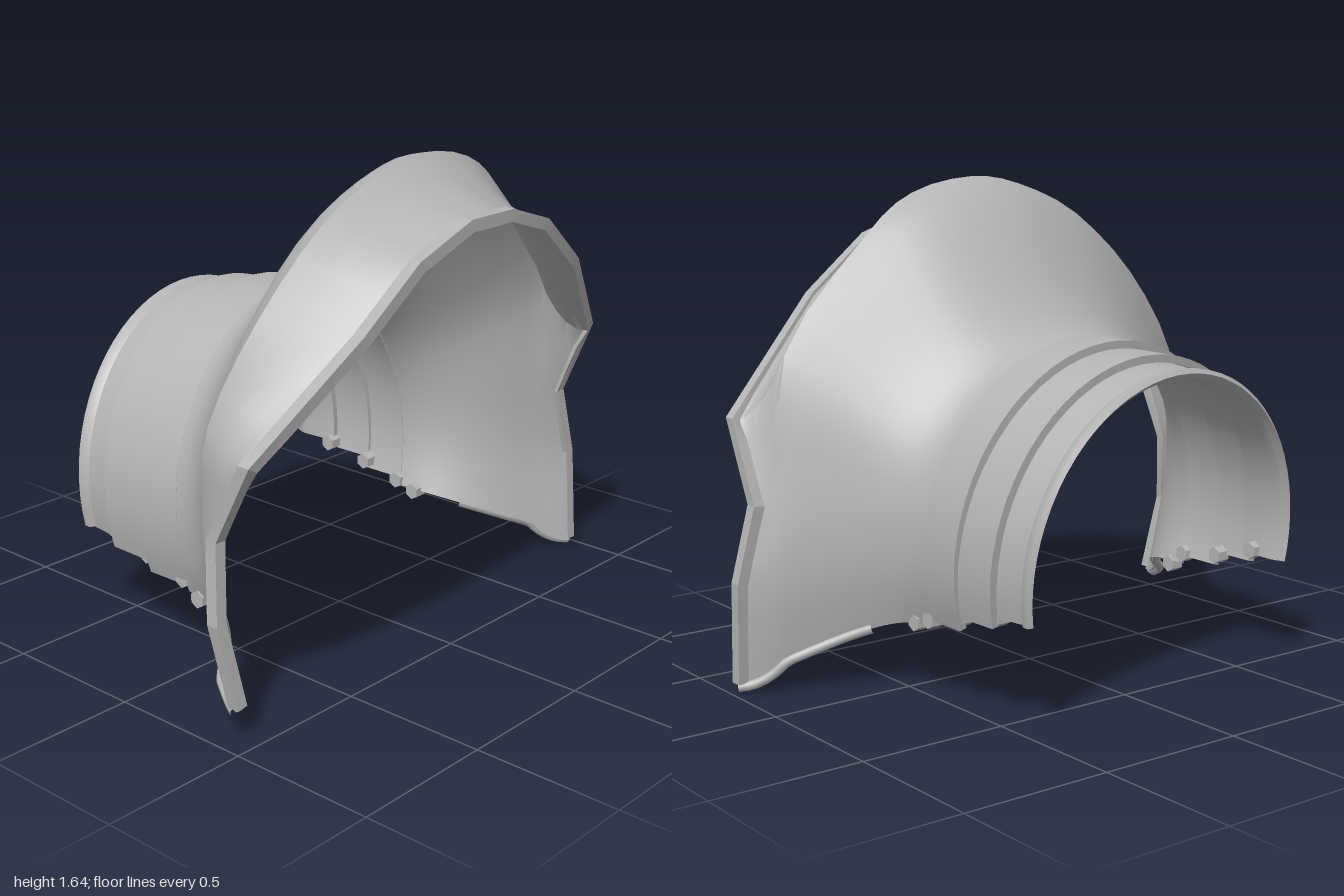
import * as THREE from 'three';
import { toCreasedNormals } from 'three/addons/utils/BufferGeometryUtils.js';

const V = (x, y, z) => new THREE.Vector3(x, y, z);
const N = 39; // segments around each arch

// Closed plate of even thickness from rows of outer points (rows run along +x, points run left to right)
function shell(rows, thickness, crease) {
  const nr = rows.length, nc = rows[0].length, total = nr * nc;
  const outer = [], inner = [], index = [];
  const id = (i, j) => i * nc + j;
  for (let i = 0; i < nr; i++) for (let j = 0; j < nc; j++) {
    const p = rows[i][j];
    const di = rows[Math.min(i + 1, nr - 1)][j].clone().sub(rows[Math.max(i - 1, 0)][j]);
    const dj = rows[i][Math.min(j + 1, nc - 1)].clone().sub(rows[i][Math.max(j - 1, 0)]);
    const q = p.clone().addScaledVector(di.cross(dj).normalize(), -thickness);
    outer.push(p.x, p.y, p.z);
    inner.push(q.x, q.y, q.z);
  }
  for (let i = 0; i < nr - 1; i++) for (let j = 0; j < nc - 1; j++) {
    const a = id(i, j), b = id(i + 1, j), c = id(i, j + 1), d = id(i + 1, j + 1), t = total;
    index.push(a, b, d, a, d, c, a + t, d + t, b + t, a + t, c + t, d + t);
  }
  const wall = (p, q) => index.push(q, p, p + total, q, p + total, q + total);
  for (let i = 0; i < nr - 1; i++) {
    wall(id(i, 0), id(i + 1, 0));
    wall(id(i + 1, nc - 1), id(i, nc - 1));
  }
  for (let j = 0; j < nc - 1; j++) {
    wall(id(0, j + 1), id(0, j));
    wall(id(nr - 1, j), id(nr - 1, j + 1));
  }
  const g = new THREE.BufferGeometry();
  g.setAttribute('position', new THREE.Float32BufferAttribute(outer.concat(inner), 3));
  g.setIndex(index);
  return toCreasedNormals(g, crease);
}

// Point on a slanted circular arch; s is how far (degrees) it reaches below the centre
function archPoint(a, r, cy, cz, s, t) {
  const th = THREE.MathUtils.degToRad(-s + (180 + 2 * s) * t);
  const y = cy + r * Math.sin(th), z = cz + r * Math.cos(th);
  return V(a + 0.1 * z - 0.085 * y, y, z);
}
const row = (f) => Array.from({ length: N + 1 }, (_, j) => f(j / N));

// Mouth edge and swollen ridge, each from left bottom over the top to right bottom
const rimPts = [
  [0.42, 0.08, 0.94], [0.39, 0.36, 0.99], [0.36, 0.61, 0.96], [0.51, 0.88, 0.97], [0.63, 1.21, 0.62],
  [0.67, 1.4, 0.42], [0.685, 1.49, 0.2], [0.685, 1.49, 0], [0.66, 1.42, -0.22], [0.585, 1.23, -0.5],
  [0.36, 0.87, -0.94], [0.25, 0.6, -0.93], [0.26, 0.35, -0.99], [0.29, 0.01, -0.98],
].map((p) => V(...p));
const ridge = new THREE.CatmullRomCurve3([
  [0.3, 0.115, 0.87], [0.29, 0.37, 0.9], [0.27, 0.65, 0.91], [0.33, 0.95, 0.93], [0.4, 1.25, 0.79],
  [0.4, 1.48, 0.52], [0.385, 1.59, 0.25], [0.36, 1.62, 0.02], [0.34, 1.57, -0.24], [0.31, 1.43, -0.45],
  [0.26, 1.07, -0.79], [0.19, 0.68, -0.83], [0.18, 0.35, -0.87], [0.2, 0.08, -0.84],
].map((p) => V(...p)), false, 'catmullrom', 0.5);

function rimPoint(t) {
  const k = Math.min(Math.floor(t * 13 + 1e-6), 12);
  return rimPts[k].clone().lerp(rimPts[k + 1], t * 13 - k);
}

export function createModel() {
  const group = new THREE.Group();
  const steel = new THREE.MeshStandardMaterial({ color: 0xb4b4b4 });
  steel.name = 'grey steel';
  const add = (name, geometry) => {
    const m = new THREE.Mesh(geometry, steel);
    m.name = name;
    group.add(m);
    return m;
  };

  // Overlapping bands; profile pairs are [slide along x, radius]
  const bands = [
    { name: 'endBand', cy: 0.44, cz: 0.08, s: 10.5, profile: [[-0.592, 0.598], [-0.58, 0.612], [-0.56, 0.612], [-0.54, 0.6], [-0.4, 0.615]] },
    { name: 'middleBand', cy: 0.45, cz: 0.075, s: 14, profile: [[-0.43, 0.632], [-0.24, 0.635]] },
    { name: 'innerBand', cy: 0.467, cz: 0.07, s: 19.5, profile: [[-0.266, 0.645], [-0.08, 0.643]] },
  ];
  for (const b of bands) {
    const rows = b.profile.map(([a, r]) => row((t) => archPoint(a, r, b.cy, b.cz, b.s, t)));
    add(b.name, shell(rows, 0.026, 0.6));
  }

  // Flared body: arch to ridge, then ridge to mouth
  const rows = [];
  for (let i = 0; i <= 12; i++) {
    const u = i / 12;
    rows.push(row((t) => {
      const a = archPoint(-0.1, 0.641, 0.467, 0.07, 22, t), b = ridge.getPoint(t);
      const top = Math.sin(Math.PI * t) ** 2;
      const f = THREE.MathUtils.lerp(u ** 2.4, u * u * (3 - 2 * u), top);
      return V(THREE.MathUtils.lerp(a.x, b.x, u), THREE.MathUtils.lerp(a.y, b.y, f), THREE.MathUtils.lerp(a.z, b.z, f));
    }));
  }
  for (let i = 1; i <= 5; i++) {
    const v = i / 5, f = 1 - (1 - v) ** 2;
    rows.push(row((t) => {
      const a = ridge.getPoint(t), b = rimPoint(t);
      return V(THREE.MathUtils.lerp(a.x, b.x, v), THREE.MathUtils.lerp(a.y, b.y - 0.012, f), THREE.MathUtils.lerp(a.z, b.z * 0.99, v));
    }));
  }
  add('flaredBody', shell(rows, 0.022, 0.7));

  // Raised border around the mouth
  const border = [-0.02, 0.022].map((dx) => row((t) => rimPoint(t).add(V(dx, 0, 0))));
  add('mouthBorder', shell(border, 0.04, 0.25));

  // Rolled hems along the two lower edges of the flare
  for (const [name, j] of [['leftHem', 0], ['rightHem', N]]) {
    const path = new THREE.CatmullRomCurve3(rows.slice(7).map((r) => r[j].clone()));
    add(name, new THREE.TubeGeometry(path, 16, 0.017, 6, false));
  }

  // Six-sided rivets near the lower edges
  const rivets = [
    [-0.07, 0.27, 0.66], [0, 0.22, 0.66], [-0.42, 0.35, 0.65], [-0.25, 0.3, 0.65],
    [-0.09, 0.225, -0.52], [-0.17, 0.25, -0.52], [-0.49, 0.325, -0.5], [-0.32, 0.29, -0.51],
  ];
  const rivetShape = new THREE.CylinderGeometry(0.03, 0.03, 0.045, 6).toNonIndexed();
  rivetShape.computeVertexNormals();
  rivetShape.rotateX(Math.PI / 2);
  rivets.forEach((p) => add('rivet', rivetShape).position.set(...p));

  return group;
}
